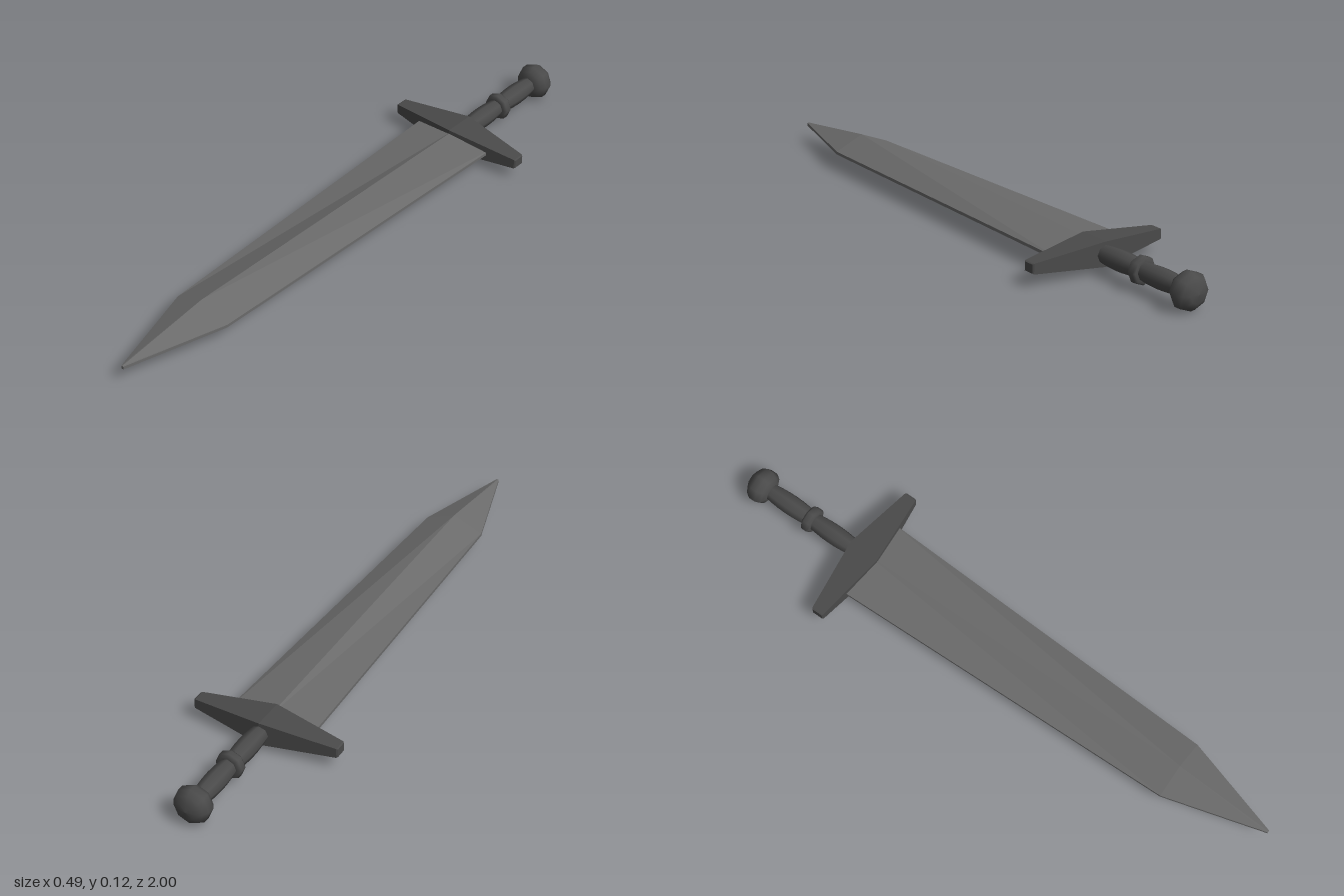
import * as THREE from 'three';

const MID = 0.061; // height of the sword's long axis
const bladeMaterial = new THREE.MeshStandardMaterial({ color: 0x6a6a6a });
const hiltMaterial = new THREE.MeshStandardMaterial({ color: 0x4a4a4a });
bladeMaterial.flatShading = true;
const guardMaterial = hiltMaterial.clone();
guardMaterial.flatShading = true;

// Skin a series of equal rings, counter-clockwise seen from the far end, and cap both ends
function loft(rings) {
  const n = rings[0].length;
  const index = [];
  for (let r = 0; r < rings.length - 1; r++) {
    for (let i = 0; i < n; i++) {
      const a = r * n + i, b = r * n + (i + 1) % n;
      index.push(a, b, b + n, a, b + n, a + n);
    }
  }
  const last = (rings.length - 1) * n;
  for (let i = 1; i < n - 1; i++) {
    index.push(0, i + 1, i, last, last + i, last + i + 1);
  }
  const geometry = new THREE.BufferGeometry();
  geometry.setAttribute('position', new THREE.Float32BufferAttribute(rings.flat(2), 3));
  geometry.setIndex(index);
  const flat = geometry.toNonIndexed();
  flat.computeVertexNormals();
  return flat;
}

// Eight-sided turned part along z, profile given as [radius, z] with z rising
function turned(profile) {
  const points = profile.map(([r, z]) => new THREE.Vector2(r, z));
  return new THREE.LatheGeometry(points, 8).rotateX(Math.PI / 2);
}

export function createModel() {
  const group = new THREE.Group();
  const add = (name, geometry, material) => {
    const mesh = new THREE.Mesh(geometry, material);
    mesh.name = name;
    mesh.position.y = MID;
    group.add(mesh);
  };

  // Blade: six-sided section, ridge thickening toward the shoulder, then a point
  const edge = 0.005;
  const bladeRing = ([z, w, h]) => [
    [w, -edge, z], [w, edge, z], [0, h, z], [-w, edge, z], [-w, -edge, z], [0, -h, z],
  ];
  add('blade', loft([
    [-0.54, 0.141, 0.026], [0.67, 0.101, 0.047], [1, 0.004, 0.006],
  ].map(bladeRing)), bladeMaterial);

  // Guard: diamond-like bar tapering to both ends, with a small end bevel
  const guardZ = -0.544;
  const guardRing = ([x, hy, hz]) => [
    [x, hy, guardZ - hz], [x, hy, guardZ + hz], [x, -hy, guardZ + hz], [x, -hy, guardZ - hz],
  ];
  add('guard', loft([
    [-0.247, 0.014, 0.018], [-0.243, 0.0165, 0.021], [0, 0.04, 0.053],
    [0.243, 0.0165, 0.021], [0.247, 0.014, 0.018],
  ].map(guardRing)), guardMaterial);

  // Grip: two gently swelling halves
  [['rearGrip', -0.93, -0.755], ['frontGrip', -0.755, -0.58]].forEach(([name, z0, z1]) => {
    const profile = [];
    for (let i = 0; i <= 6; i++) {
      const t = i / 6;
      profile.push([0.027 + 0.007 * Math.sin(Math.PI * t), z0 + (z1 - z0) * t]);
    }
    add(name, turned(profile), hiltMaterial);
  });

  // Collar between the grip halves
  add('gripCollar', turned([
    [0.026, -0.772], [0.039, -0.772], [0.045, -0.765], [0.045, -0.747], [0.039, -0.74], [0.026, -0.74],
  ]), hiltMaterial);

  // Pommel
  add('pommel', turned([
    [0, -1], [0.03, -0.996], [0.049, -0.984], [0.06, -0.967],
    [0.06, -0.945], [0.049, -0.928], [0.03, -0.918], [0, -0.916],
  ]), hiltMaterial);

  return group;
}
